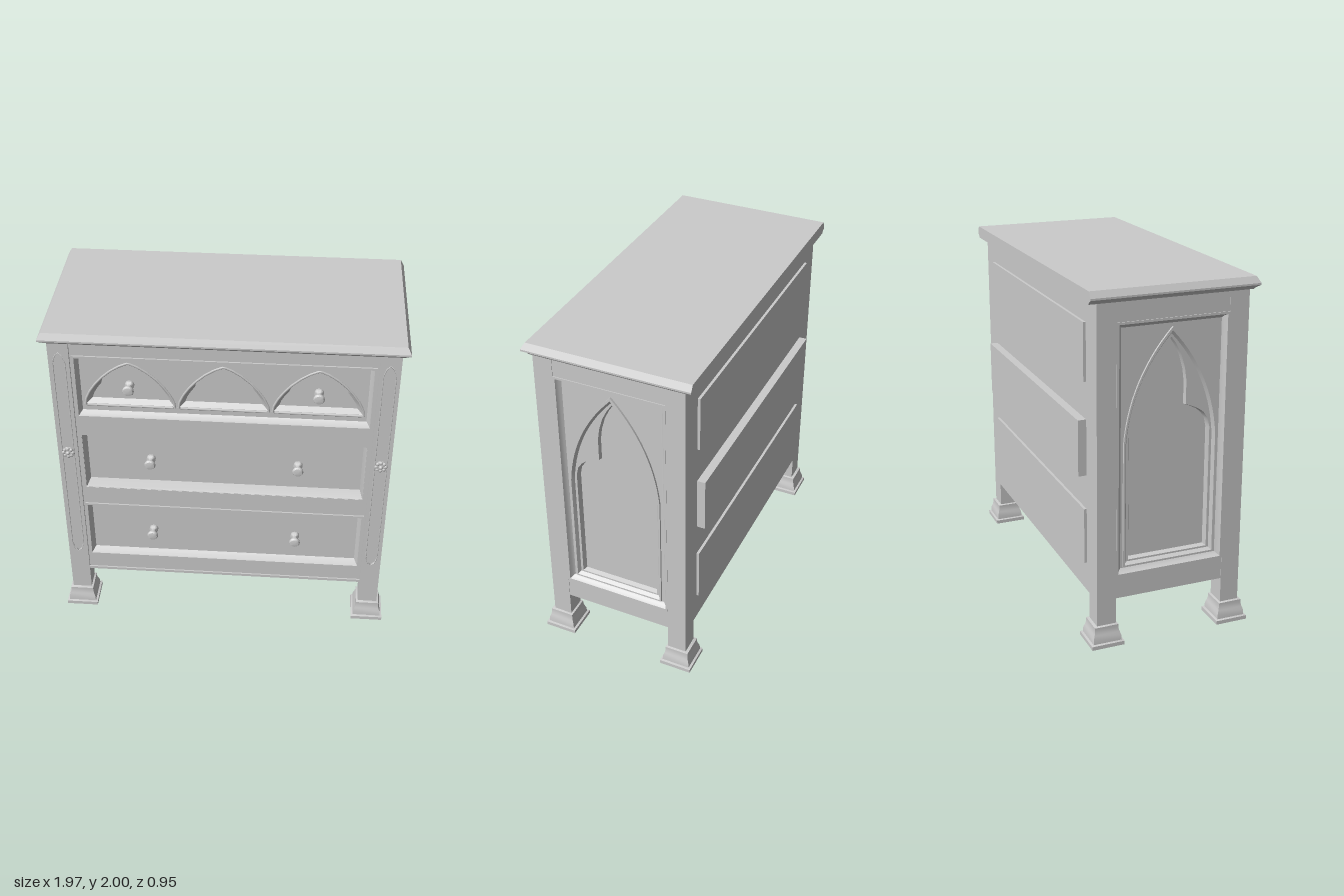
import * as THREE from 'three';
import { toCreasedNormals } from 'three/addons/utils/BufferGeometryUtils.js';

const mat = new THREE.MeshStandardMaterial({ color: 0xcccccc });
const V2 = (x, y) => new THREE.Vector2(x, y);

function add(parent, name, geo, x = 0, y = 0, z = 0) {
  const m = new THREE.Mesh(geo, mat);
  m.name = name;
  m.position.set(x, y, z);
  parent.add(m);
  return m;
}

function box(parent, name, x0, x1, y0, y1, z0, z1) {
  return add(parent, name, new THREE.BoxGeometry(x1 - x0, y1 - y0, z1 - z0),
    (x0 + x1) / 2, (y0 + y1) / 2, (z0 + z1) / 2);
}

// Counter-clockwise outlines
const rect = (hw, y0, y1) => [V2(-hw, y0), V2(hw, y0), V2(hw, y1), V2(-hw, y1)];
const mirrored = half => [
  ...half.map(p => V2(p[0], p[1])),
  ...half.filter(p => p[0] > 0).reverse().map(p => V2(-p[0], p[1])),
];
const shift = (pts, dx) => pts.map(p => V2(p.x + dx, p.y));
const scaled = (pts, sx, sy, cy) => pts.map(p => V2(p.x * sx, cy + (p.y - cy) * sy));

// Skin between matching outlines, each at its own depth: [points, z]
function loft(rings) {
  const pos = [];
  for (let r = 0; r < rings.length - 1; r++) {
    const [A, za] = rings[r], [B, zb] = rings[r + 1], n = A.length;
    for (let i = 0; i < n; i++) {
      const j = (i + 1) % n;
      pos.push(A[i].x, A[i].y, za, A[j].x, A[j].y, za, B[j].x, B[j].y, zb,
        A[i].x, A[i].y, za, B[j].x, B[j].y, zb, B[i].x, B[i].y, zb);
    }
  }
  const g = new THREE.BufferGeometry();
  g.setAttribute('position', new THREE.Float32BufferAttribute(pos, 3));
  g.computeVertexNormals();
  return toCreasedNormals(g, 0.5);
}

// Flat sheet with optional holes
function sheet(pts, holes = []) {
  const s = new THREE.Shape(pts);
  s.holes = holes.map(h => new THREE.Path(h));
  return s;
}
const flat = (pts, holes) => new THREE.ShapeGeometry(sheet(pts, holes));
const slab = (pts, holes, depth) =>
  new THREE.ExtrudeGeometry(sheet(pts, holes), { depth, bevelEnabled: false });

// Thin bead following an outline
function bead(pts, r) {
  const path = new THREE.CurvePath();
  const v = pts.map(p => new THREE.Vector3(p.x, p.y, 0));
  v.forEach((p, i) => path.add(new THREE.LineCurve3(p, v[(i + 1) % v.length])));
  return new THREE.TubeGeometry(path, pts.length * 6, r, 6, true);
}

function pointedArch(hw, y0, spring, apex) {
  const c = new THREE.QuadraticBezierCurve(V2(hw, spring),
    V2(hw * 0.89, spring + (apex - spring) * 0.58), V2(0, apex));
  return mirrored([[hw, y0], ...c.getPoints(14).map(p => [p.x < 1e-6 ? 0 : p.x, p.y])]);
}

function knob(parent, x, y, z) {
  const prof = [[0.026, 0], [0.026, 0.012], [0.014, 0.022], [0.014, 0.048], [0.03, 0.056],
    [0.032, 0.066], [0.026, 0.076], [0, 0.082]].map(p => V2(...p));
  add(parent, 'knob', toCreasedNormals(new THREE.LatheGeometry(prof, 16).rotateX(Math.PI / 2), 0.6), x, y, z);
}

// Square foot with a moulded profile
function foot(parent, x, z) {
  const prof = [[0, 0], [0.095, 0], [0.095, 0.022], [0.083, 0.026], [0.081, 0.055], [0.074, 0.075],
    [0.069, 0.095], [0.069, 0.118], [0.055, 0.123]].map(p => V2(p[0] * Math.SQRT2, p[1]));
  const g = new THREE.LatheGeometry(prof, 4).rotateY(Math.PI / 4);
  add(parent, 'foot', toCreasedNormals(g, 0.5), x, 0, z);
}

// Front face of a post: sunken pointed panel with a rosette
function postOrnament(parent, x) {
  const g = new THREE.Group();
  g.name = 'postOrnament';
  g.position.set(x, 0, 0);
  const tip = [[0.034, 1.81], [0.024, 1.822], [0.024, 1.84], [0.012, 1.848], [0, 1.862]];
  const half = [...tip.map(p => [p[0], 2.28 - p[1]]).reverse(), ...tip];
  const hole = mirrored(half);
  add(g, 'postFace', slab(rect(0.0575, 0.12, 1.93), [hole], 0.012), 0, 0, 0.418);
  add(g, 'postBead', bead(hole, 0.003), 0, 0, 0.43);
  const disc = new THREE.CylinderGeometry(0.024, 0.03, 0.022, 16).rotateX(Math.PI / 2);
  add(g, 'rosetteDisc', disc, 0, 1.185, 0.427);
  for (let i = 0; i < 8; i++) {
    const a = i * Math.PI / 4;
    const petal = add(g, 'rosettePetal', new THREE.SphereGeometry(0.011, 8, 6),
      Math.cos(a) * 0.026, 1.185 + Math.sin(a) * 0.026, 0.434);
    petal.scale.z = 0.7;
  }
  add(g, 'rosetteCentre', new THREE.SphereGeometry(0.012, 10, 8), 0, 1.185, 0.438);
  parent.add(g);
}

// Gothic side panel, built facing +z and turned outward
function sidePanel(side) {
  const g = new THREE.Group();
  g.name = side > 0 ? 'leftSidePanel' : 'rightSidePanel';
  g.rotation.y = side * Math.PI / 2;
  add(g, 'sideRails', slab(rect(0.322, 0.27, 1.93), [rect(0.315, 0.405, 1.815)], 0.08), 0, 0, 0.862);
  const inner = rect(0.285, 0.435, 1.785);
  add(g, 'panelMoulding', loft([[rect(0.32, 0.4, 1.82), 0.94], [rect(0.32, 0.4, 1.82), 0.947],
    [rect(0.307, 0.413, 1.807), 0.947], [rect(0.297, 0.423, 1.797), 0.928], [inner, 0.918]]));
  const outerArch = pointedArch(0.272, 0.442, 1.15, 1.765);
  const midArch = pointedArch(0.262, 0.452, 1.15, 1.745);
  const innerArch = pointedArch(0.25, 0.465, 1.15, 1.725);
  add(g, 'archSpandrels', flat(inner, [outerArch]), 0, 0, 0.918);
  add(g, 'archMoulding', loft([[outerArch, 0.918], [outerArch, 0.93], [midArch, 0.93], [innerArch, 0.91]]));
  const cusp = mirrored([[0.236, 0.475], [0.236, 1.18], [0.225, 1.23], [0.2, 1.268], [0.17, 1.292],
    [0.13, 1.312], [0.092, 1.327], [0.092, 1.46], [0.082, 1.53], [0.06, 1.605], [0.03, 1.665], [0, 1.708]]);
  const cuspIn = scaled(cusp, 0.95, 0.985, 1.05);
  add(g, 'cuspedTracery', flat(innerArch, [cusp]), 0, 0, 0.91);
  add(g, 'cuspMoulding', loft([[cusp, 0.91], [cuspIn, 0.885]]));
  add(g, 'panelField', flat(cuspIn), 0, 0, 0.885);
  return g;
}

// Moulded opening around a recessed drawer
const framed = (y0, y1, z) => loft([
  [rect(0.82, y0, y1), 0.412], [rect(0.82, y0, y1), 0.424], [rect(0.807, y0 + 0.013, y1 - 0.013), 0.424],
  [rect(0.802, y0 + 0.018, y1 - 0.018), 0.41], [rect(0.788, y0 + 0.034, y1 - 0.034), z]]);

export function createModel() {
  const model = new THREE.Group();
  model.name = 'chestOfDrawers';

  // Carcass, with the front pierced for the drawers
  box(model, 'carcass', -0.87, 0.87, 0.27, 1.93, -0.43, 0.335);
  add(model, 'frontFrame', slab(rect(0.832, 0.27, 1.93),
    [rect(0.81, 1.44, 1.83), rect(0.803, 0.922, 1.303), rect(0.81, 0.4, 0.79)], 0.08), 0, 0, 0.335);
  box(model, 'baseStrip', -0.83, 0.83, 0.27, 0.287, 0.41, 0.424);

  // Posts and feet
  for (const sx of [-1, 1]) {
    const a = Math.min(sx * 0.83, sx * 0.945), b = Math.max(sx * 0.83, sx * 0.945);
    box(model, 'frontPost', a, b, 0.12, 1.93, 0.32, 0.418);
    box(model, 'backPost', a, b, 0.12, 1.93, -0.43, -0.32);
    postOrnament(model, sx * 0.8875);
    for (const sz of [-1, 1]) foot(model, sx * 0.888, sz * 0.378);
    model.add(sidePanel(sx));
  }

  // Top board: bevelled on the front and sides, flat at the back
  const board = (hw, zf) => rect(hw, -zf, 0.478);
  add(model, 'topBoard', loft([[rect(0.01, 0, 0.01), 1.93], [board(0.957, 0.445), 1.93],
    [board(0.962, 0.452), 1.938], [board(0.985, 0.475), 1.955], [board(0.985, 0.475), 1.965],
    [board(0.965, 0.455), 2], [rect(0.01, 0, 0.01), 2]]).rotateX(-Math.PI / 2));

  // Top drawer with three pointed, cusped niches
  const top = new THREE.Group();
  top.name = 'topDrawer';
  add(top, 'drawerMoulding', framed(1.43, 1.84, 0.388));
  const arch = mirrored([[0.25, 1.5], [0.245, 1.54], [0.222, 1.59], [0.19, 1.638], [0.15, 1.685],
    [0.1, 1.73], [0.05, 1.763], [0, 1.785]]);
  const trefoil = mirrored([[0.215, 1.525], [0.205, 1.555], [0.185, 1.59], [0.16, 1.625], [0.152, 1.66],
    [0.115, 1.702], [0.075, 1.718], [0, 1.758]]);
  const centres = [-0.52, 0, 0.52];
  add(top, 'drawerFront', flat(rect(0.79, 1.46, 1.81), centres.map(c => shift(arch, c))), 0, 0, 0.388);
  for (const c of centres) {
    add(top, 'niche', loft([[arch, 0.388], [trefoil, 0.352]]), c);
    add(top, 'nicheBack', flat(trefoil), c, 0, 0.352);
    add(top, 'archRib', bead(arch, 0.007), c, 0, 0.388);
  }
  for (const x of [-0.52, 0.52]) knob(top, x, 1.63, 0.365);
  model.add(top);

  // Middle drawer, pushed further back, and bottom drawer
  const middle = new THREE.Group(), bottom = new THREE.Group();
  middle.name = 'middleDrawer';
  bottom.name = 'bottomDrawer';
  add(middle, 'drawerMoulding', loft([[rect(0.805, 0.92, 1.305), 0.416],
    [rect(0.8, 0.925, 1.298), 0.405], [rect(0.788, 0.94, 1.275), 0.348]]));
  add(middle, 'drawerFront', flat(rect(0.79, 0.938, 1.277)), 0, 0, 0.348);
  add(bottom, 'drawerMoulding', framed(0.39, 0.8, 0.38));
  add(bottom, 'drawerFront', flat(rect(0.79, 0.42, 0.77)), 0, 0, 0.38);
  for (const x of [-0.424, 0.424]) {
    knob(middle, x, 1.105, 0.348);
    knob(bottom, x, 0.592, 0.382);
  }
  model.add(middle, bottom);

  // Drawer ends showing through the back
  for (const [y0, y1, z] of [[1.48, 1.8, -0.445], [0.955, 1.272, -0.477], [0.44, 0.76, -0.445]])
    box(model, 'drawerBack', -0.795, 0.795, y0, y1, z, -0.4);

  return model;
}
